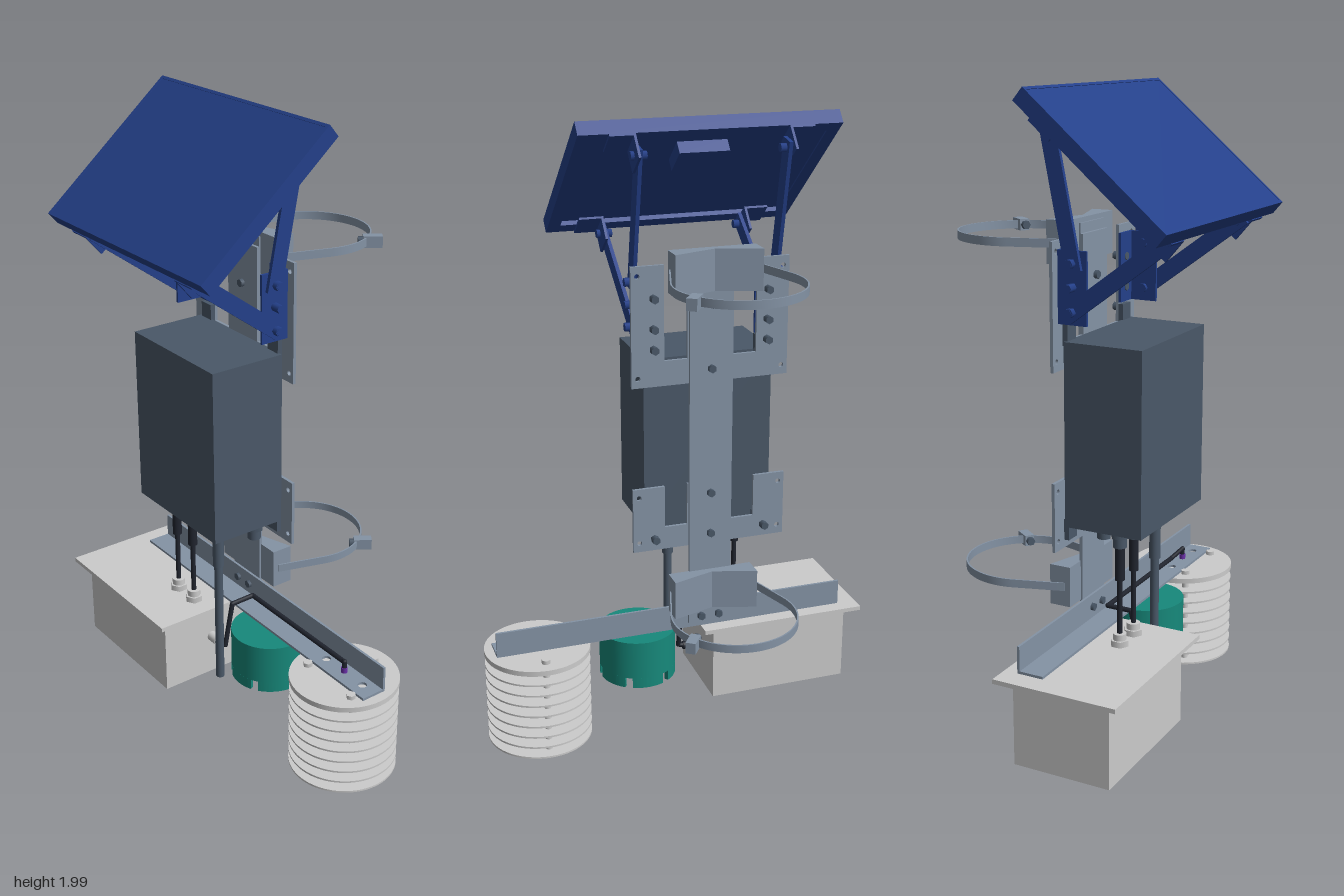
import * as THREE from 'three';
import { toCreasedNormals } from 'three/addons/utils/BufferGeometryUtils.js';

const mat = (color) => new THREE.MeshStandardMaterial({ color });
const V = (x, y, z) => new THREE.Vector3(x, y, z);

export function createModel() {
  const root = new THREE.Group();
  const steel = mat(0x8493a5), dark = mat(0x4a5868), navy = mat(0x24408a), teal = mat(0x17897b);
  const white = mat(0xd6d6d6), black = mat(0x20242e), purple = mat(0x6a2fa8);
  const CX = -0.105; // centre line of the post

  const add = (name, geo, m, parent = root) => {
    const mesh = new THREE.Mesh(geo, m);
    mesh.name = name;
    parent.add(mesh);
    return mesh;
  };
  // box given by its min and max on each axis
  const box = (name, m, x0, x1, y0, y1, z0, z1, parent) => {
    const b = add(name, new THREE.BoxGeometry(x1 - x0, y1 - y0, z1 - z0), m, parent);
    b.position.set((x0 + x1) / 2, (y0 + y1) / 2, (z0 + z1) / 2);
    return b;
  };
  // cylinder between two points
  const rod = (name, m, a, b, r, sides = 20, parent = root) => {
    const d = b.clone().sub(a);
    const c = add(name, new THREE.CylinderGeometry(r, r, d.length(), sides), m, parent);
    c.position.copy(a).add(b).multiplyScalar(0.5);
    c.quaternion.setFromUnitVectors(V(0, 1, 0), d.normalize());
    return c;
  };
  const extrude = (shape, depth, seg = 24) => toCreasedNormals(
    new THREE.ExtrudeGeometry(shape, { depth, bevelEnabled: false, curveSegments: seg }), 0.5);
  const poly = (pts) => new THREE.Shape(pts.map((p) => new THREE.Vector2(...p)));
  const circle = (x, y, r) => new THREE.Path().absarc(x, y, r, 0, Math.PI * 2, true);
  // flat extrusion laid down: shape y points back (-z), depth points up
  const lay = (shape, depth, seg) => extrude(shape, depth, seg).rotateX(-Math.PI / 2);

  // ---- post and notched mounting plates
  box('post', steel, CX - 0.071, CX + 0.071, 0.36, 1.6, -0.014, -0.004);
  const plate = (name, y0, y1, notch) => {
    const s = poly([[-0.255, y0], [0.255, y0], [0.255, y1], [0.15, y1], [0.15, notch], [0.075, notch],
      [0.075, y1], [-0.075, y1], [-0.075, notch], [-0.15, notch], [-0.15, y1], [-0.255, y1]]);
    for (const x of [-0.235, 0.235]) for (const y of [y0 + 0.03, y1 - 0.03]) s.holes.push(circle(x, y, 0.008));
    add(name, extrude(s, 0.01), steel).position.set(CX, 0, -0.004);
  };
  plate('upperMountPlate', 1.19, 1.57, 1.27);
  plate('lowerMountPlate', 0.64, 0.855, 0.715);
  const bolt = (x, y) => rod('bolt', dark, V(x, y, -0.028), V(x, y, 0.018), 0.013, 6);
  for (const y of [0.68, 0.82, 1.235, 1.44]) bolt(CX, y);
  for (const s of [-1, 1]) {
    for (const y of [0.68, 1.31, 1.375, 1.47]) bolt(CX + s * 0.185, y);
    bolt(CX + s * 0.03, 0.385);
  }

  // ---- pole clamps: V block, strap and screw housing
  const strapPts = (r) => {
    const pts = [[0.143 - (0.2 - r), 0.03]];
    for (let i = 0; i <= 48; i++) {
      const a = -0.297 + (i / 48) * (Math.PI + 0.594);
      pts.push([r * Math.cos(a), 0.243 + r * Math.sin(a)]);
    }
    pts.push([-0.143 + (0.2 - r), 0.03]);
    return pts;
  };
  for (const [y0, ys] of [[0.42, 0.484], [1.485, 1.548]]) {
    const clamp = new THREE.Group();
    clamp.name = 'poleClamp';
    clamp.position.x = CX;
    root.add(clamp);
    add('vBlock', lay(poly([[-0.14, 0.01], [0.14, 0.01], [0.14, 0.08], [0, 0.036], [-0.14, 0.08]]), 0.13),
      steel, clamp).position.y = y0;
    add('strap', lay(poly([...strapPts(0.2), ...strapPts(0.195).reverse()]), 0.026), steel, clamp)
      .position.y = ys - 0.013;
    const screw = new THREE.Group();
    screw.name = 'strapScrew';
    screw.position.set(0.18, ys, -0.363);
    screw.rotation.y = 0.95;
    clamp.add(screw);
    box('screwHousing', steel, -0.035, 0.025, -0.018, 0.018, -0.016, 0.016, screw);
    rod('screwHead', dark, V(-0.05, 0, 0), V(-0.03, 0, 0), 0.014, 6, screw);
  }

  // ---- control box with feet and cable glands
  box('controlBox', dark, -0.315, 0.107, 0.71, 1.275, 0.015, 0.268);
  for (const x of [-0.28, 0.07]) {
    box('mountFoot', dark, x - 0.025, x + 0.025, 1.26, 1.325, 0.006, 0.022);
    box('mountFoot', dark, x - 0.025, x + 0.025, 0.665, 0.73, 0.006, 0.022);
  }
  const gland = (x, z) => {
    rod('glandNut', dark, V(x, 0.685, z), V(x, 0.711, z), 0.028, 6);
    rod('glandBody', dark, V(x, 0.655, z), V(x, 0.69, z), 0.021);
  };
  for (const x of [-0.258, -0.167, -0.02]) gland(x, 0.17);
  for (const x of [-0.21, -0.12, 0.065]) gland(x, 0.09);
  rod('antenna', dark, V(-0.02, 0.115, 0.17), V(-0.02, 0.67, 0.17), 0.014);
  rod('antennaBase', dark, V(-0.02, 0.54, 0.17), V(-0.02, 0.67, 0.17), 0.018);

  // ---- cross beam: angle section
  box('beamWall', steel, -0.575, 0.605, 0.34, 0.425, 0, 0.008);
  const shelf = poly([[-0.575, -0.085], [0.605, -0.085], [0.605, 0], [-0.575, 0]]);
  for (const x of [0.378, 0.55]) shelf.holes.push(circle(x, -0.042, 0.014));
  add('beamShelf', lay(shelf, 0.008), steel).position.y = 0.34;

  // ---- battery box with lid flange
  box('batteryBox', white, -0.6, -0.125, 0.06, 0.326, 0, 0.315);
  box('batteryBoxLid', white, -0.64, -0.08, 0.325, 0.339, -0.045, 0.355);
  for (const x of [-0.58, -0.145]) for (const z of [0.02, 0.295])
    rod('boxFoot', white, V(x, 0.054, z), V(x, 0.062, z), 0.01);
  for (const x of [-0.258, -0.167]) {
    rod('lidGlandNut', white, V(x, 0.338, 0.17), V(x, 0.358, 0.17), 0.03, 6);
    rod('lidGland', white, V(x, 0.35, 0.17), V(x, 0.378, 0.17), 0.021);
    rod('powerCable', black, V(x, 0.37, 0.17), V(x, 0.66, 0.17), 0.008);
    rod('cableBoot', black, V(x, 0.55, 0.17), V(x, 0.66, 0.17), 0.015);
  }
  rod('sideGland', white, V(-0.126, 0.2, 0.13), V(-0.085, 0.2, 0.13), 0.017);
  rod('sideGlandCap', black, V(-0.09, 0.2, 0.13), V(-0.06, 0.2, 0.13), 0.014);

  // ---- sensor cable, run as straight pieces with ball joints
  const run = [V(-0.07, 0.2, 0.13), V(-0.045, 0.205, 0.13), V(-0.045, 0.355, 0.1), V(-0.045, 0.356, 0.016),
    V(0.43, 0.356, 0.016), V(0.465, 0.385, 0.042), V(0.465, 0.35, 0.042)];
  for (let i = 1; i < run.length; i++) {
    rod('sensorCable', black, run[i - 1], run[i], 0.008, 10);
    add('cableBend', new THREE.SphereGeometry(0.008, 10, 8), black).position.copy(run[i]);
  }

  // ---- round sensor housing with slotted skirt
  const pod = new THREE.Group();
  pod.name = 'roundSensor';
  pod.position.set(0.12, 0, 0.068);
  root.add(pod);
  rod('podBody', teal, V(0, 0.21, 0), V(0, 0.339, 0), 0.126, 48, pod);
  for (let i = 0; i < 6; i++) {
    const a = (i * Math.PI) / 3 + 0.1, b = a + Math.PI / 3 - 0.2;
    const s = new THREE.Shape().absarc(0, 0, 0.126, a, b, false).absarc(0, 0, 0.112, b, a, true);
    add('podSkirt', lay(s, 0.036, 10), teal, pod).position.y = 0.175;
  }
  rod('podCore', teal, V(0, 0.185, 0), V(0, 0.215, 0), 0.085, 36, pod);

  // ---- louvred radiation shield
  const shield = new THREE.Group();
  shield.name = 'radiationShield';
  shield.position.set(0.465, 0, 0.042);
  root.add(shield);
  rod('shieldCap', white, V(0, 0.322, 0), V(0, 0.339, 0), 0.171, 56, shield);
  const ring = new THREE.Shape().absarc(0, 0, 0.17, 0, Math.PI * 2, false);
  ring.holes.push(circle(0, 0, 0.08));
  const ringGeo = lay(ring, 0.006, 40);
  for (let i = 0; i < 8; i++) add('shieldRing', ringGeo, white, shield).position.y = 0.022 + i * 0.0375;
  for (let i = 0; i < 3; i++) {
    const a = Math.PI / 2 + (i * Math.PI * 2) / 3, x = 0.12 * Math.cos(a), z = -0.12 * Math.sin(a);
    rod('shieldRod', white, V(x, 0.012, z), V(x, 0.33, z), 0.011, 16, shield);
    rod('shieldNut', white, V(x, 0.335, z), V(x, 0.352, z), 0.015, 6, shield);
    rod('shieldNut', white, V(x, 0.005, z), V(x, 0.018, z), 0.014, 6, shield);
  }
  rod('probe', purple, V(0, 0.15, 0), V(0, 0.365, 0), 0.01, 16, shield);
  rod('probeTip', purple, V(0, 0.142, 0), V(0, 0.165, 0), 0.013, 16, shield);

  // ---- solar panel: sheet, rim, inner lip and junction box
  const panel = new THREE.Group();
  panel.name = 'solarPanel';
  panel.position.set(CX, 1.8, 0.2075);
  panel.rotation.x = 0.707;
  root.add(panel);
  box('panelSheet', navy, -0.405, 0.405, 0.008, 0.022, -0.274, 0.274, panel);
  for (const s of [-1, 1]) {
    const side = box('panelRim', navy, -0.005, 0.005, -0.0235, 0.0235, -0.28, 0.28, panel);
    side.position.x = s * 0.405;
    box('panelLip', navy, -0.02, 0.02, -0.0235, -0.0185, -0.28, 0.28, panel).position.x = s * 0.39;
    box('panelRim', navy, -0.41, 0.41, -0.0235, 0.0235, -0.005, 0.005, panel).position.z = s * 0.275;
    box('panelLip', navy, -0.41, 0.41, -0.0235, -0.0185, -0.02, 0.02, panel).position.z = s * 0.26;
  }
  box('junctionBox', navy, -0.08, 0.08, -0.032, 0.01, -0.17, -0.07, panel);

  // ---- panel supports: angle brackets and struts, mirrored about the post
  const strut = (x, z1, y1, z2, y2) => {
    const dz = z2 - z1, dy = y2 - y1;
    const b = add('strut', new THREE.BoxGeometry(0.012, Math.hypot(dz, dy) + 0.05, 0.05), navy);
    b.position.set(x, (y1 + y2) / 2, (z1 + z2) / 2);
    b.rotation.x = Math.atan2(dz, dy);
  };
  for (const s of [-1, 1]) {
    for (const z of [-0.237, 0.24]) {
      const b = (name, xa, xb, y0, y1) =>
        box(name, navy, Math.min(s * xa, s * xb), Math.max(s * xa, s * xb), y0, y1, z - 0.043, z + 0.043, panel);
      b('panelBracketWeb', 0.238, 0.246, -0.105, -0.0235);
      b('panelBracketFoot', 0.238, 0.318, -0.031, -0.0235);
    }
    const x = CX + s * 0.232;
    strut(x, -0.02, 1.9, 0.058, 1.51);
    strut(x, 0.362, 1.595, 0.058, 1.37);
    for (const [z, y] of [[-0.02, 1.9], [0.058, 1.51], [0.362, 1.595], [0.058, 1.37]])
      rod('strutBolt', navy, V(x - 0.025, y, z), V(x + 0.025, y, z), 0.014, 6);
    box('baseBracketWeb', navy, -0.004, 0.004, 1.33, 1.545, 0.006, 0.1).position.x = CX + s * 0.222;
    box('baseBracketFoot', navy, -0.038, 0.038, 1.33, 1.545, 0.006, 0.015).position.x = CX + s * 0.186;
    for (const y of [1.37, 1.44, 1.51])
      rod('baseBolt', navy, V(CX + s * 0.21, y, 0.055), V(CX + s * 0.258, y, 0.055), 0.013, 6);
  }
  return root;
}
